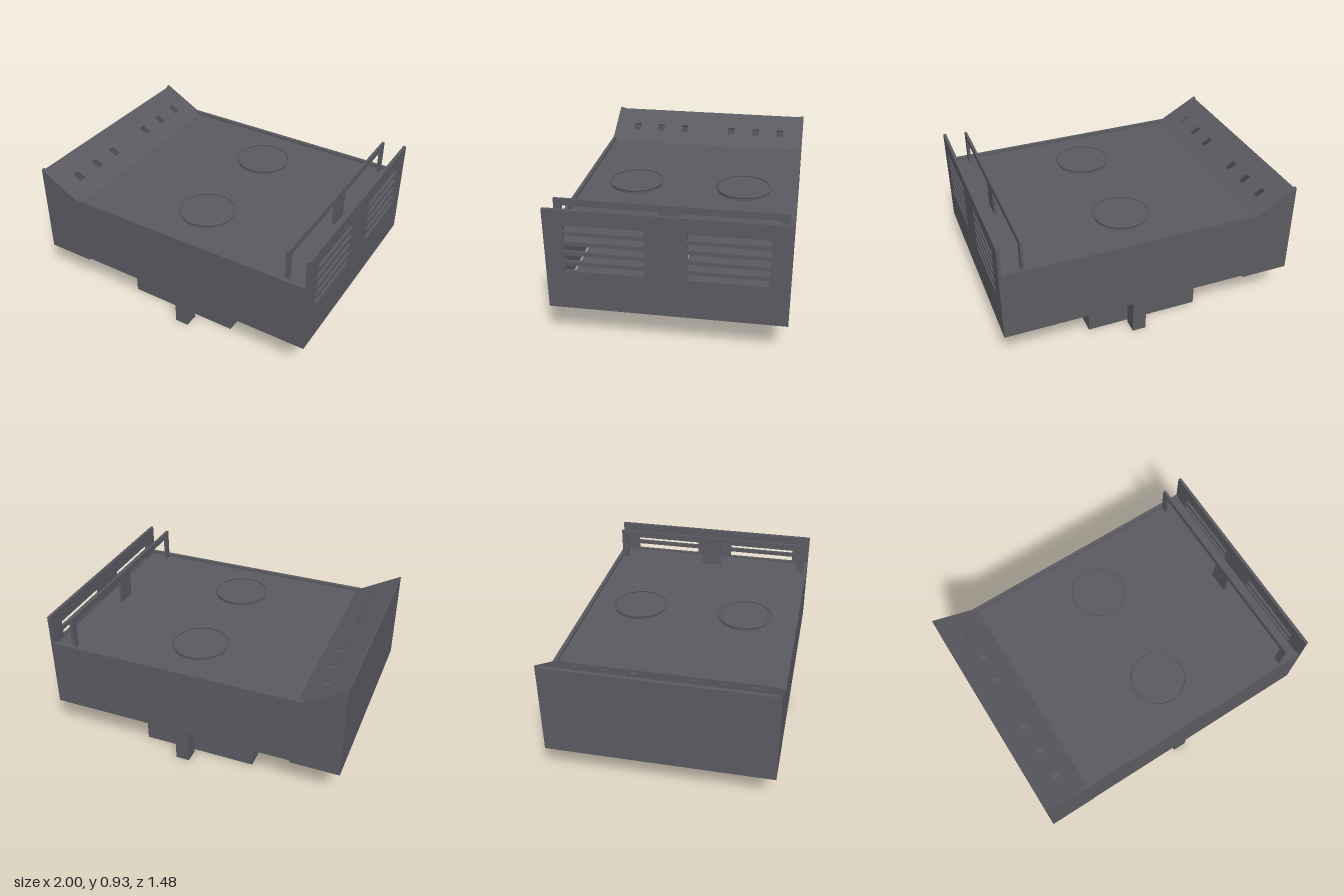
import * as THREE from 'three';

const steel = new THREE.MeshStandardMaterial({ color: 0x5b5a61 });
steel.name = 'dark grey steel';

export function createModel() {
  const model = new THREE.Group();

  const add = (name, geometry) => {
    const mesh = new THREE.Mesh(geometry, steel);
    mesh.name = name;
    model.add(mesh);
    return mesh;
  };

  // Box given by its min and max corners
  const box = (name, x0, x1, y0, y1, z0, z1) => {
    const mesh = add(name, new THREE.BoxGeometry(x1 - x0, y1 - y0, z1 - z0));
    mesh.position.set((x0 + x1) / 2, (y0 + y1) / 2, (z0 + z1) / 2);
    return mesh;
  };

  const rectPoints = (x0, x1, y0, y1) =>
    [[x0, y0], [x1, y0], [x1, y1], [x0, y1]].map(([x, y]) => new THREE.Vector2(x, y));

  // Flat sheet with rectangular cut-outs
  const sheet = (outline, holes, depth) => {
    const shape = new THREE.Shape(outline);
    for (const h of holes) shape.holes.push(new THREE.Path(rectPoints(...h)));
    return new THREE.ExtrudeGeometry(shape, { depth, bevelEnabled: false });
  };

  // Long side walls, rising to a peak at one end
  const wallProfile = [
    [-1, 0.24], [-0.67, 0.24], [-0.67, 0.255], [0.98, 0.255],
    [0.98, 0.73], [-0.73, 0.73], [-1, 0.88],
  ].map(([x, y]) => new THREE.Vector2(x, y));
  add('frontWall', sheet(wallProfile, [], 0.025)).position.z = 0.715;
  add('backWall', sheet(wallProfile, [], 0.025)).position.z = -0.74;

  // Plain end wall and recessed deck
  box('plainEndWall', -1, -0.98, 0.24, 0.865, -0.715, 0.715);
  box('deck', -0.7, 0.98, 0.692, 0.71, -0.715, 0.715);

  // Louvred end panel
  const slots = [];
  for (const y of [0.54, 0.608, 0.675, 0.743, 0.81]) {
    slots.push([0.13, 0.617, y - 0.02, y + 0.02], [-0.617, -0.13, y - 0.02, y + 0.02]);
  }
  const panel = add('louvredEndPanel', sheet(rectPoints(-0.74, 0.74, 0.255, 0.93), slots, 0.02));
  panel.rotation.y = Math.PI / 2;
  panel.position.x = 0.98;

  // Sloping control panel with six square openings
  const angle = Math.atan2(0.15, 0.27);
  const c = Math.cos(angle), s = Math.sin(angle), t = 0.014;
  const openings = [-0.565, -0.375, -0.185, 0.185, 0.375, 0.565]
    .map((z) => [0.161, 0.227, z - 0.026, z + 0.026]);
  const slope = sheet(rectPoints(0.01, 0.354, -0.715, 0.715), openings, t);
  slope.applyMatrix4(new THREE.Matrix4().makeBasis(
    new THREE.Vector3(c, -s, 0), new THREE.Vector3(0, 0, -1), new THREE.Vector3(s, c, 0)));
  add('slopingPanel', slope).position.set(-1 - t * s, 0.88 - t * c, 0);

  // Guard rail with end posts and a broad middle post
  const railX = [0.835, 0.852];
  box('guardRail', ...railX, 0.885, 0.93, -0.715, 0.715);
  box('railMiddlePost', ...railX, 0.255, 0.885, -0.07, 0.07);

  for (const side of [-1, 1]) {
    const span = (a, b) => (side > 0 ? [a, b] : [-b, -a]);
    box('railEndPost', ...railX, 0.255, 0.885, ...span(0.665, 0.715));

    // Raised ring around a low round pad
    const ring = add('deckRing', new THREE.TorusGeometry(0.181, 0.009, 10, 64));
    ring.rotation.x = Math.PI / 2;
    ring.position.set(0.083, 0.738, side * 0.373);
    const pad = add('ringPad', new THREE.CylinderGeometry(0.178, 0.178, 0.022, 64));
    pad.position.set(0.083, 0.72, side * 0.373);

    // Floor plate, hanging box and leg
    box('floorPlate', -0.67, 0.835, 0.24, 0.255, ...span(0.02, 0.7));
    const [z0, z1] = span(0.145, 0.6);
    box('hangingBox', -0.375, 0.4, 0.015, 0.24, z0, z1);
    // Slotted underside of the hanging box
    const bottom = add('slottedBottom',
      sheet(rectPoints(-0.375, 0.4, -z1, -z0), [[-0.33, 0.36, -z0 - 0.085, -z0 - 0.065]], 0.015));
    bottom.rotation.x = -Math.PI / 2;
    box('leg', 0.038, 0.13, 0, 0.255, ...span(0.622, 0.718));
  }

  // Floor beneath the sloping panel
  box('endFloor', -0.98, -0.67, 0.24, 0.255, -0.715, 0.715);

  return model;
}
